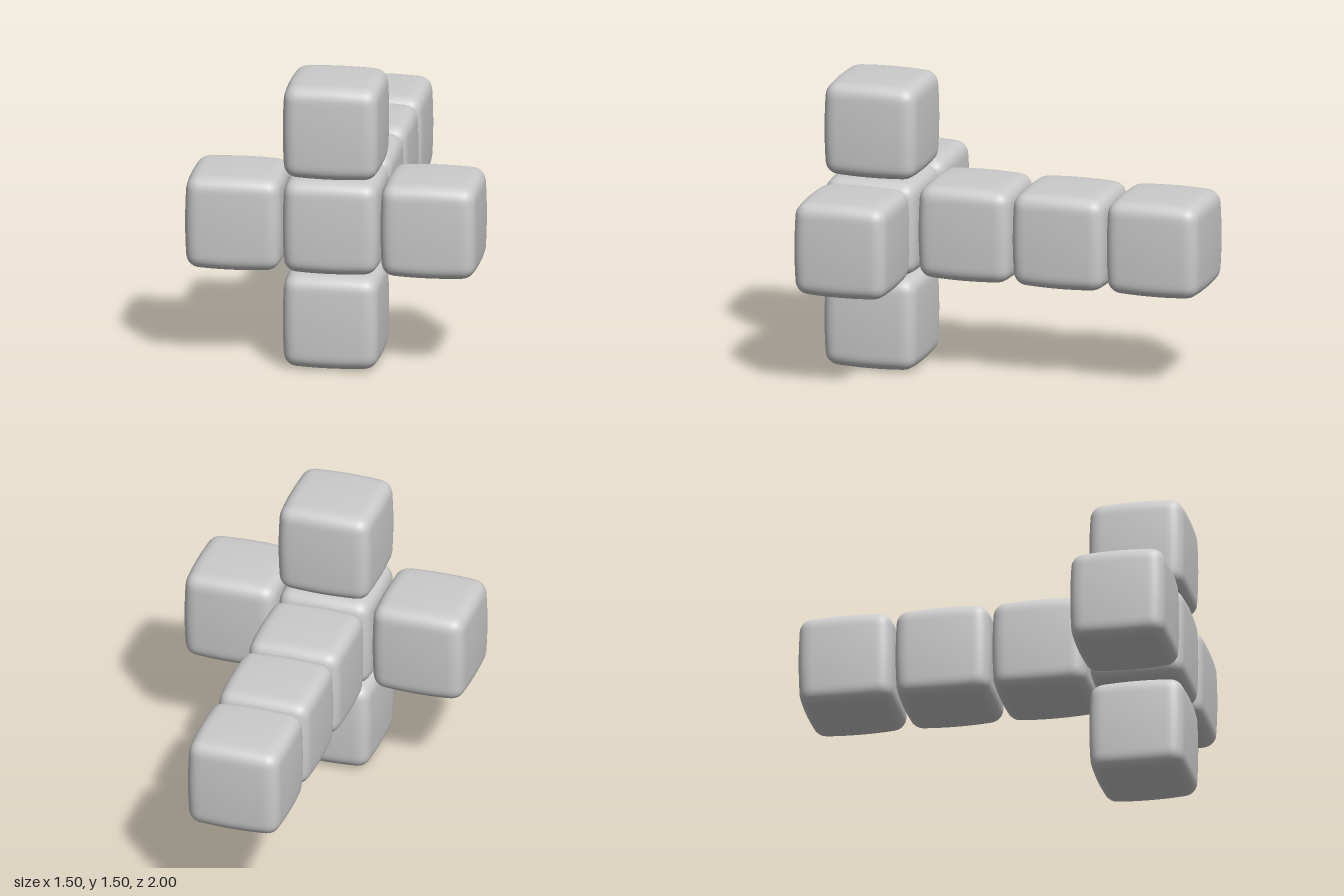
import * as THREE from 'three';
import { mergeVertices } from 'three/addons/utils/BufferGeometryUtils.js';

const HALF = 0.25, RADIUS = 0.0625, BULGE = 0.035, SEGMENTS = 24;

// Cube with rounded edges and slightly pillowed faces
function pillowCube() {
  let g = new THREE.BoxGeometry(2 * HALF, 2 * HALF, 2 * HALF, SEGMENTS, SEGMENTS, SEGMENTS);
  g.deleteAttribute('uv');
  g.deleteAttribute('normal');
  g = mergeVertices(g, 1e-5);
  const pos = g.attributes.position;
  const inner = HALF - RADIUS;
  const low = new THREE.Vector3(-inner, -inner, -inner);
  const high = new THREE.Vector3(inner, inner, inner);
  const p = new THREE.Vector3(), core = new THREE.Vector3();
  for (let i = 0; i < pos.count; i++) {
    p.fromBufferAttribute(pos, i);
    core.copy(p).clamp(low, high);
    // round the edges
    p.sub(core).setLength(RADIUS).add(core);
    // draw each face in towards its borders
    const [a, b, c] = p.toArray().map((v) => BULGE * (v / HALF) ** 2);
    p.set(p.x * (1 - b - c), p.y * (1 - a - c), p.z * (1 - a - b));
    pos.setXYZ(i, p.x, p.y, p.z);
  }
  g.computeVertexNormals();
  return g;
}

export function createModel() {
  const model = new THREE.Group();
  model.name = 'cubeCross';
  const geometry = pillowCube();
  const material = new THREE.MeshStandardMaterial({ color: 0xcccccc });

  const cubes = {
    // upright cross at the front
    centreCube: [0, 0.75, 0.75],
    topCube: [0, 1.25, 0.75],
    bottomCube: [0, 0.25, 0.75],
    leftCube: [0.5, 0.75, 0.75],
    rightCube: [-0.5, 0.75, 0.75],
    // long arm running to the back
    armCubeFront: [0, 0.75, 0.25],
    armCubeMiddle: [0, 0.75, -0.25],
    armCubeBack: [0, 0.75, -0.75],
  };
  for (const [name, at] of Object.entries(cubes)) {
    const cube = new THREE.Mesh(geometry, material);
    cube.name = name;
    cube.position.set(...at);
    model.add(cube);
  }
  return model;
}
